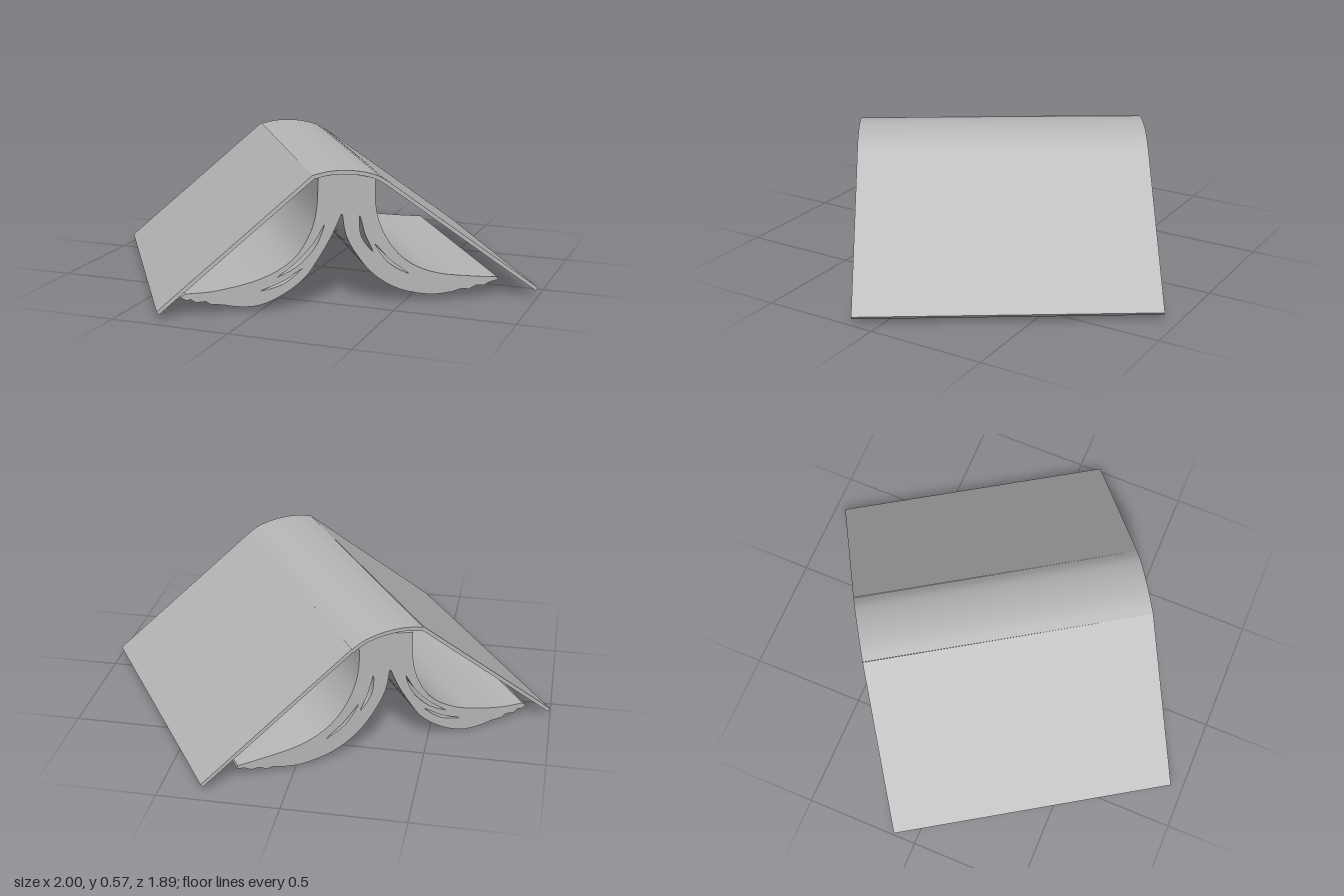
import * as THREE from 'three';
import { toCreasedNormals } from 'three/addons/utils/BufferGeometryUtils.js';

const YAW = 0.569;          // the book lies turned on the ground
const COVER_LENGTH = 1.24;
const PAGE_LENGTH = 1.17;
const THICKNESS = 0.016;

const V = (p) => new THREE.Vector2(p[0], p[1]);
const smooth = (pts, n = 20) => new THREE.SplineCurve(pts.map(V)).getPoints(n);

// Extrudes a cross-section along the spine; the back end may sink a little
function extrude(shape, length, sink = 0) {
  const geo = new THREE.ExtrudeGeometry(shape, { depth: length, bevelEnabled: false });
  geo.translate(0, 0, -length / 2);
  const pos = geo.attributes.position;
  for (let i = 0; i < pos.count; i++) {
    pos.setY(i, pos.getY(i) - sink * (0.5 - pos.getZ(i) / length));
  }
  return toCreasedNormals(geo, 0.5);
}

// Closed strip of even thickness lying under a line of points
function strip(points, thickness) {
  const inner = points.map((p, i) => {
    const a = points[Math.max(i - 1, 0)];
    const b = points[Math.min(i + 1, points.length - 1)];
    const t = b.clone().sub(a).normalize();
    return new THREE.Vector2(p.x + t.y * thickness, p.y - t.x * thickness);
  });
  return new THREE.Shape([...points, ...inner.reverse()]);
}

// Thin lens-shaped gap between leaves, following a curve
function slit(pts, width) {
  const line = smooth(pts, 10);
  const side = (s) => line.map((p, i) => {
    const a = line[Math.max(i - 1, 0)];
    const b = line[Math.min(i + 1, 10)];
    const t = b.clone().sub(a).normalize();
    const w = s * width * (0.08 + Math.sin((Math.PI * i) / 10)) / 2;
    return new THREE.Vector2(p.x - t.y * w, p.y + t.x * w);
  });
  return new THREE.Path([...side(1), ...side(-1).reverse()]);
}

export function createModel() {
  const paper = new THREE.MeshStandardMaterial({ color: 0xb8b8b8, side: THREE.DoubleSide });
  paper.name = 'plain grey';
  const model = new THREE.Group();
  model.name = 'openBook';
  const book = new THREE.Group();
  book.name = 'book';
  book.rotation.y = YAW;
  model.add(book);

  const add = (name, geo) => {
    const mesh = new THREE.Mesh(geo, paper);
    mesh.name = name;
    book.add(mesh);
  };

  // Cover boards and rounded spine
  const hingeL = [-0.165, 0.552];
  const hingeR = [0.146, 0.512];
  add('leftCover', extrude(strip([[-0.789, 0.033], hingeL].map(V), THICKNESS), COVER_LENGTH));
  add('rightCover', extrude(strip([hingeR, [0.789, 0.035]].map(V), THICKNESS), COVER_LENGTH));
  add('spine', extrude(strip(smooth(
    [hingeL, [-0.1, 0.565], [-0.03, 0.567], [0.04, 0.558], [0.1, 0.54], hingeR], 24),
  THICKNESS), COVER_LENGTH, 0.004));

  // Page block: two bundles curling outwards from the spine
  const leftUpper = smooth([[-0.135, 0.535], [-0.142, 0.4], [-0.172, 0.3], [-0.243, 0.2],
    [-0.374, 0.13], [-0.55, 0.093], [-0.67, 0.088]]);
  const leftEdge = [[-0.69, 0.073], [-0.665, 0.06], [-0.65, 0.064], [-0.63, 0.05],
    [-0.59, 0.052], [-0.57, 0.038]].map(V);
  const leftLower = smooth([[-0.52, 0.034], [-0.46, 0.022], [-0.38, 0.022], [-0.29, 0.055],
    [-0.196, 0.12], [-0.136, 0.2], [-0.077, 0.3], [-0.042, 0.38]]);
  const rightLower = smooth([[-0.036, 0.38], [-0.016, 0.28], [0.053, 0.17], [0.125, 0.1],
    [0.219, 0.05], [0.338, 0.025], [0.43, 0.031]]);
  const rightEdge = [[0.47, 0.042], [0.5, 0.037], [0.53, 0.052], [0.565, 0.05],
    [0.59, 0.063], [0.625, 0.07]].map(V);
  const rightUpper = smooth([[0.622, 0.082], [0.516, 0.092], [0.374, 0.112], [0.267, 0.152],
    [0.184, 0.22], [0.125, 0.32], [0.1, 0.42], [0.1, 0.522]]);
  const block = new THREE.Shape([...leftUpper, ...leftEdge, ...leftLower,
    ...rightLower, ...rightEdge, ...rightUpper, new THREE.Vector2(-0.03, 0.55)]);

  // Gaps where the leaves part
  block.holes.push(
    slit([[-0.11, 0.34], [-0.15, 0.26], [-0.22, 0.185], [-0.3, 0.135]], 0.016),
    slit([[-0.2, 0.165], [-0.28, 0.11], [-0.37, 0.082]], 0.01),
    slit([[0.035, 0.37], [0.05, 0.29], [0.09, 0.22]], 0.016),
    slit([[0.1, 0.25], [0.16, 0.175], [0.24, 0.12]], 0.012),
  );
  add('pages', extrude(block, PAGE_LENGTH, 0.02));

  return model;
}
